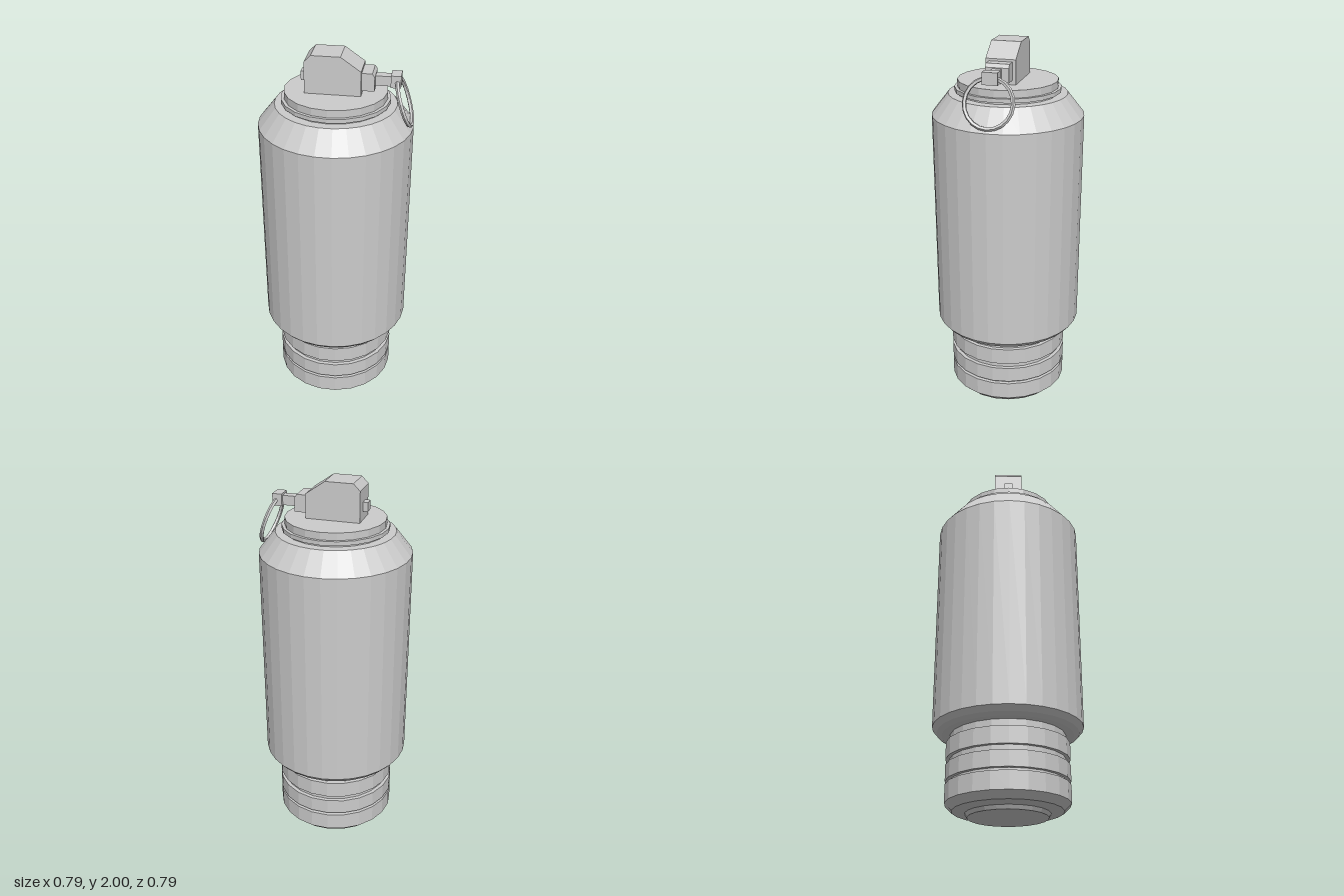
import * as THREE from 'three';

export function createModel() {
  const model = new THREE.Group();
  const grey = new THREE.MeshStandardMaterial({ color: 0xcccccc, flatShading: true });

  function add(name, geometry, x = 0, y = 0, z = 0) {
    const mesh = new THREE.Mesh(geometry, grey);
    mesh.name = name;
    mesh.position.set(x, y, z);
    model.add(mesh);
    return mesh;
  }

  // Turned part: [radius, height] pairs from bottom to top, first corner on the x axis
  function turned(name, points, sides) {
    const profile = points.map(([r, y]) => new THREE.Vector2(r, y));
    return add(name, new THREE.LatheGeometry(profile, sides, Math.PI / 2));
  }

  // Side profile in x and y, extruded evenly about z = 0
  function slab(name, points, width) {
    const shape = new THREE.Shape(points.map(([x, y]) => new THREE.Vector2(x, y)));
    const geometry = new THREE.ExtrudeGeometry(shape, { depth: width, bevelEnabled: false });
    return add(name, geometry.translate(0, 0, -width / 2));
  }

  // Box given by its limits in x and y, centred on z = 0
  function block(name, x0, x1, y0, y1, width) {
    return add(name, new THREE.BoxGeometry(x1 - x0, y1 - y0, width), (x0 + x1) / 2, (y0 + y1) / 2);
  }

  // Main canister with chamfered lower rim and sloping shoulder
  turned('body', [
    [0, 0.42], [0.345, 0.42], [0.372, 0.434], [0.396, 0.462],
    [0.396, 1.625], [0.309, 1.735], [0, 1.735],
  ], 30);

  // Base: three raised bands separated by grooves, with a rounded foot
  turned('base', [
    [0, 0], [0.207, 0], [0.218, 0.02], [0.285, 0.03], [0.322, 0.066],
    [0.322, 0.16], [0.302, 0.16], [0.302, 0.176],
    [0.322, 0.176], [0.322, 0.26], [0.302, 0.26], [0.302, 0.29],
    [0.322, 0.29], [0.322, 0.38], [0.302, 0.38], [0.302, 0.425],
  ], 22);

  // Cap with a thin flange
  turned('cap', [
    [0.26, 1.73], [0.26, 1.746], [0.276, 1.746], [0.276, 1.767],
    [0.26, 1.767], [0.26, 1.805], [0, 1.805],
  ], 20);

  // Mechanism housing on the cap
  slab('housing', [
    [-0.146, 1.8], [0.135, 1.8], [0.135, 1.93], [0.034, 2], [-0.112, 2], [-0.146, 1.965],
  ], 0.155);
  slab('collar', [
    [0.13, 1.828], [0.199, 1.828], [0.199, 1.9], [0.187, 1.918], [0.13, 1.918],
  ], 0.12);
  block('pinEnd', -0.172, -0.14, 1.85, 1.897, 0.047);
  block('pin', 0.19, 0.285, 1.845, 1.895, 0.047);
  block('pinHead', 0.275, 0.325, 1.843, 1.905, 0.078);

  // Pull ring hanging from the pin head, its lower end swung outward
  const ring = new THREE.TorusGeometry(0.122, 0.011, 5, 20);
  ring.rotateY(Math.PI / 2).rotateZ(0.33);
  add('pullRing', ring, 0.345, 1.76, 0);

  return model;
}
